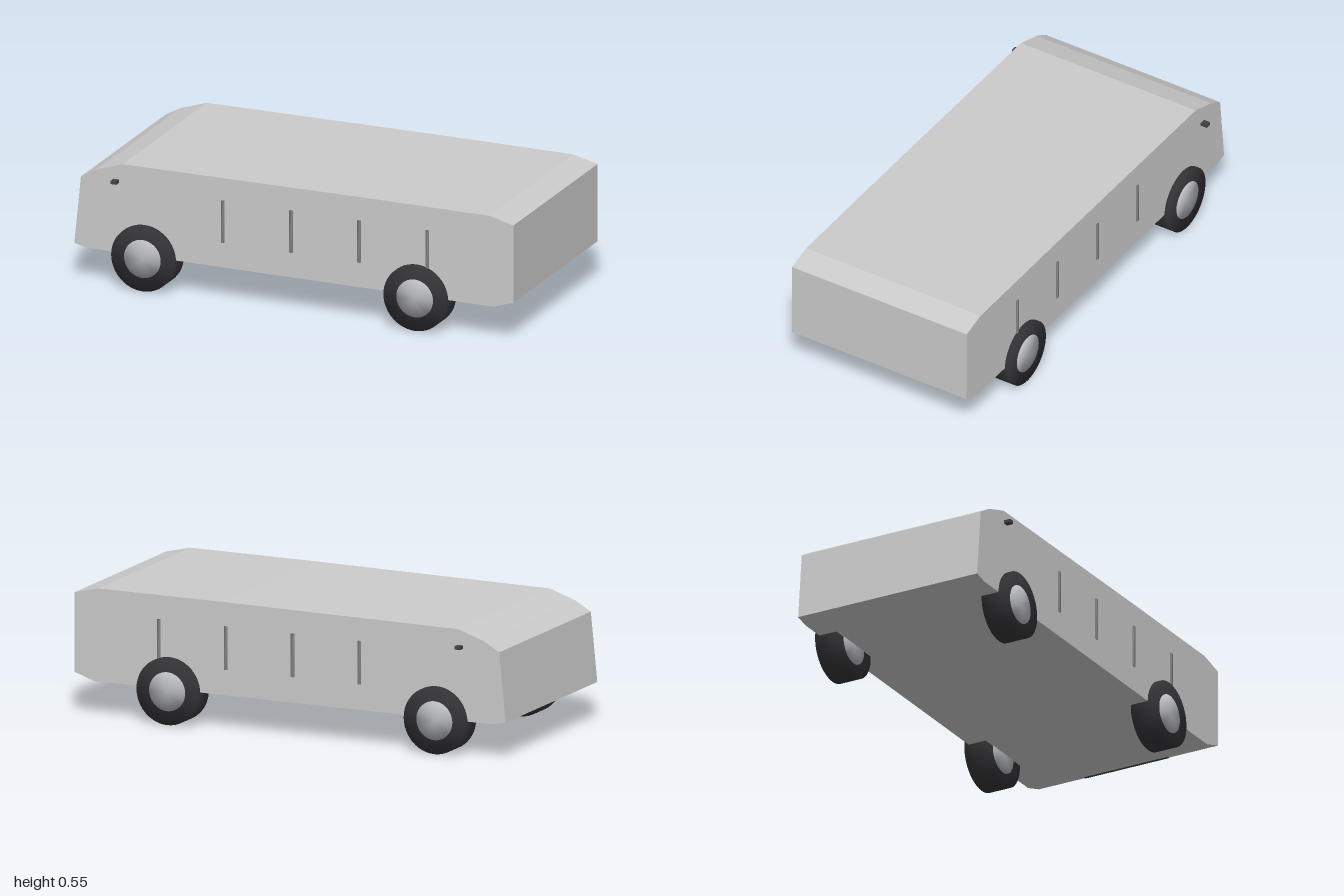
import * as THREE from 'three';
import { mergeVertices } from 'three/addons/utils/BufferGeometryUtils.js';

const paint = (color) => new THREE.MeshStandardMaterial({ color });

// Weld the corners so normals blend softly across the edges
function soften(geometry) {
  geometry.deleteAttribute('normal');
  geometry.deleteAttribute('uv');
  const welded = mergeVertices(geometry);
  welded.computeVertexNormals();
  return welded;
}

export function createModel() {
  const model = new THREE.Group();
  model.name = 'van';
  const grey = paint(0xcccccc), rubber = paint(0x333336);
  const metal = paint(0xb8babf), trim = paint(0x88888c), dark = paint(0x444448);

  function add(parent, name, geometry, material, x, y, z) {
    const mesh = new THREE.Mesh(geometry, material);
    mesh.name = name;
    mesh.position.set(x, y, z);
    parent.add(mesh);
    return mesh;
  }

  // Body: side profile extruded across the width
  const profile = [
    [-1, 0.163], [-0.94, 0.15], [0.91, 0.15], [1, 0.18], [1, 0.52], [0.89, 0.547],
    [0.32, 0.547], [-0.3, 0.543], [-0.78, 0.54], [-0.9, 0.5], [-0.97, 0.46],
  ].map(([x, y]) => new THREE.Vector2(x, y));
  const body = new THREE.ExtrudeGeometry(new THREE.Shape(profile), { depth: 0.86, bevelEnabled: false });
  add(model, 'body', body, grey, 0, 0, -0.43);

  // Wheels: tyre with a hub running through it
  const tyre = soften(new THREE.CylinderGeometry(0.143, 0.143, 0.102, 48).rotateX(Math.PI / 2));
  const hub = soften(new THREE.CylinderGeometry(0.083, 0.083, 0.108, 40).rotateX(Math.PI / 2));
  const handle = soften(new THREE.BoxGeometry(0.014, 0.185, 0.014));
  const mirror = new THREE.BoxGeometry(0.026, 0.014, 0.03);

  for (const side of [1, -1]) {
    const end = side > 0 ? 'front' : 'back';
    for (const x of [-0.68, 0.56]) {
      const wheel = new THREE.Group();
      wheel.name = end + 'Wheel';
      wheel.position.set(x, 0.144, side * 0.4);
      add(wheel, 'tyre', tyre, rubber, 0, 0, 0);
      add(wheel, 'hub', hub, metal, 0, 0, 0);
      model.add(wheel);
    }
    // Upright door handles
    for (const x of [-0.322, -0.012, 0.298, 0.608]) {
      add(model, end + 'DoorHandle', handle, trim, x, 0.352, side * 0.429);
    }
    add(model, end + 'Mirror', mirror, dark, -0.8, 0.471, side * 0.465);
  }

  // Thin bumper strip set into the sloped underside of the tail
  add(model, 'bumperStrip', new THREE.BoxGeometry(0.04, 0.006, 0.4), dark, 0.97, 0.175, 0);
  return model;
}
